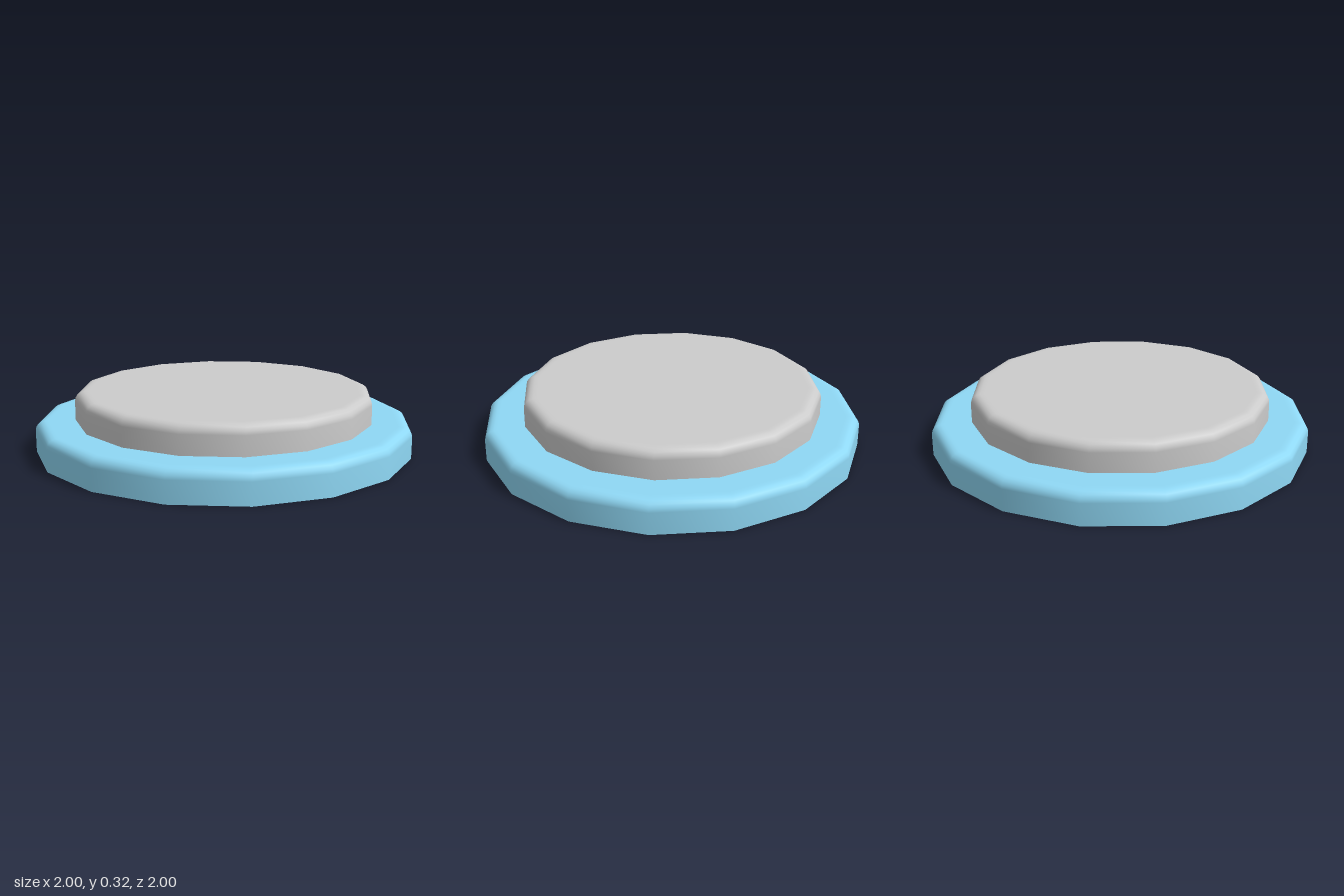
import * as THREE from 'three';

const SIDES = 16;

// Round disc with a straight wall, a softly rounded upper rim and a flat top
function discShell(radius, y0, y1, bevel) {
  const points = [new THREE.Vector2(radius, y0)];
  const steps = 4;
  for (let i = 0; i <= steps; i++) {
    const a = (i / steps) * Math.PI / 2;
    points.push(new THREE.Vector2(
      radius - bevel + bevel * Math.cos(a),
      y1 - bevel + bevel * Math.sin(a)
    ));
  }
  // extra ring keeps the top shading flat
  points.push(new THREE.Vector2(radius - bevel - 0.02, y1));
  points.push(new THREE.Vector2(0, y1));
  return new THREE.LatheGeometry(points, SIDES);
}

// Flat underside facing down
function underside(radius, y) {
  return new THREE.CircleGeometry(radius, SIDES).rotateX(Math.PI / 2).translate(0, y, 0);
}

function disc(name, radius, y0, y1, material) {
  const group = new THREE.Group();
  group.name = name;
  const shell = new THREE.Mesh(discShell(radius, y0, y1, 0.05), material);
  shell.name = name + 'Shell';
  const bottom = new THREE.Mesh(underside(radius, y0), material);
  bottom.name = name + 'Underside';
  group.add(shell, bottom);
  return group;
}

export function createModel() {
  const model = new THREE.Group();
  model.name = 'roundButton';
  const blue = new THREE.MeshStandardMaterial({ color: 0x8fd8f5 });
  const grey = new THREE.MeshStandardMaterial({ color: 0xcccccc });

  // wide base and the narrower raised plate on it
  model.add(disc('base', 1, 0, 0.165, blue));
  model.add(disc('raisedPlate', 0.79, 0.165, 0.318, grey));
  return model;
}
